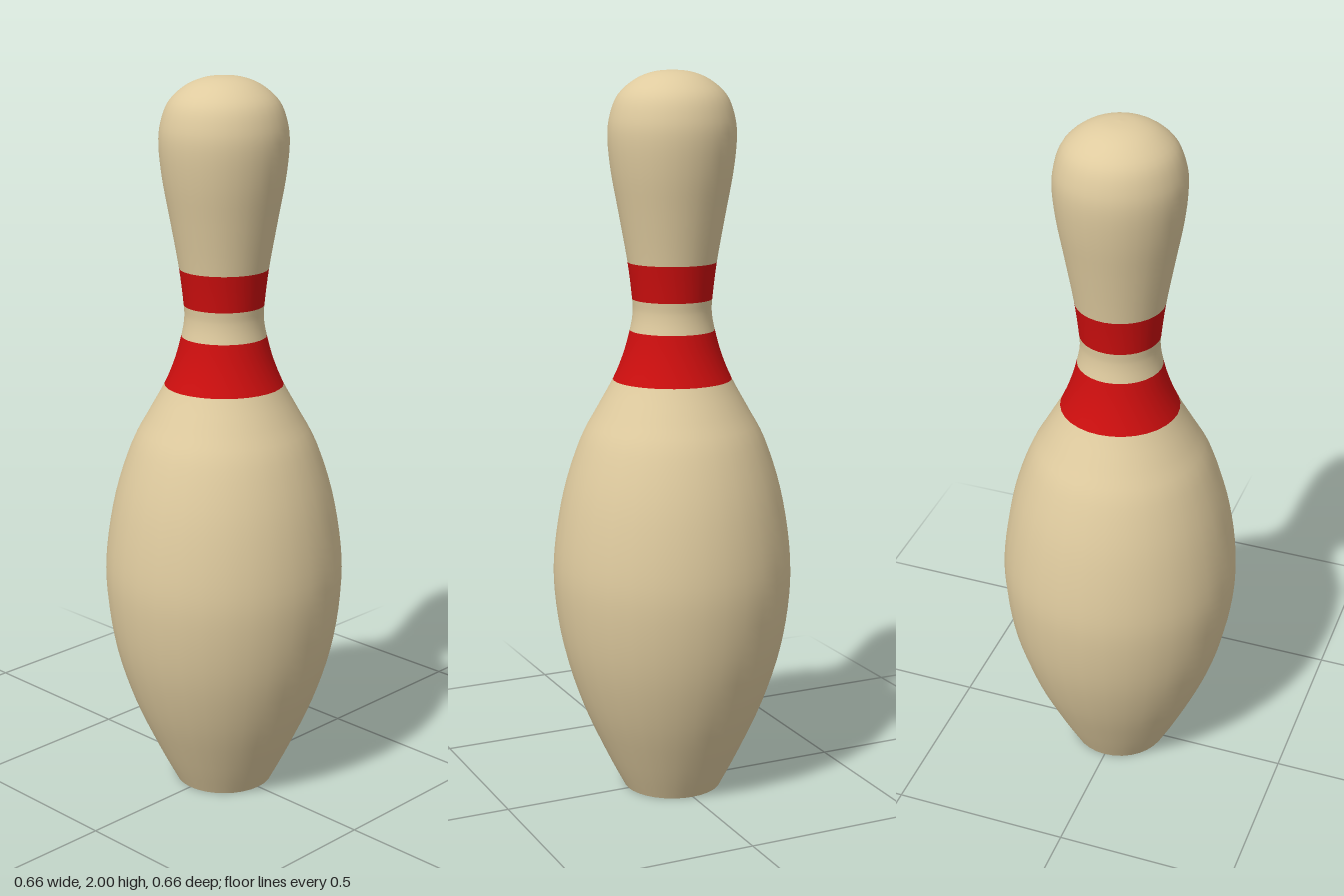
import * as THREE from 'three';

export function createModel() {
  const pin = new THREE.Group();
  pin.name = 'bowlingPin';
  const ivory = new THREE.MeshStandardMaterial({ color: 0xdfcb9f });
  ivory.name = 'ivory';
  const red = new THREE.MeshStandardMaterial({ color: 0xcc0e0e });
  red.name = 'red';
  const SIDES = 32;

  // Silhouette as [radius, height], from the foot to the crown
  const profile = [
    [0.137, 0], [0.188, 0.1], [0.255, 0.25], [0.305, 0.41], [0.329, 0.57], [0.327, 0.7],
    [0.3, 0.86], [0.255, 1.0], [0.21, 1.085], [0.163, 1.17],
    [0.134, 1.24], [0.116, 1.305],
    [0.108, 1.35], [0.109, 1.39],
    [0.121, 1.49],
    [0.144, 1.62], [0.164, 1.73], [0.173, 1.82], [0.167, 1.88], [0.145, 1.935],
    [0.1, 1.975], [0.05, 1.995], [0, 2],
  ];
  const curve = new THREE.SplineCurve(profile.map(([r, y]) => new THREE.Vector2(r, y)));

  // Turns the stretch of the silhouette between two profile points
  function turned(name, from, to, material) {
    const steps = (to - from) * 4;
    const points = [];
    for (let i = 0; i <= steps; i++) {
      const p = curve.getPoint((from + i / 4) / (profile.length - 1));
      p.x = Math.max(p.x, 0);
      points.push(p);
    }
    const mesh = new THREE.Mesh(new THREE.LatheGeometry(points, SIDES), material);
    mesh.name = name;
    pin.add(mesh);
  }

  turned('body', 0, 9, ivory);
  turned('lowerStripe', 9, 11, red);
  turned('neck', 11, 13, ivory);
  turned('upperStripe', 13, 14, red);
  turned('head', 14, 22, ivory);

  // Flat underside
  const base = new THREE.Mesh(new THREE.CircleGeometry(0.137, SIDES).rotateX(Math.PI / 2), ivory);
  base.name = 'base';
  pin.add(base);

  return pin;
}
